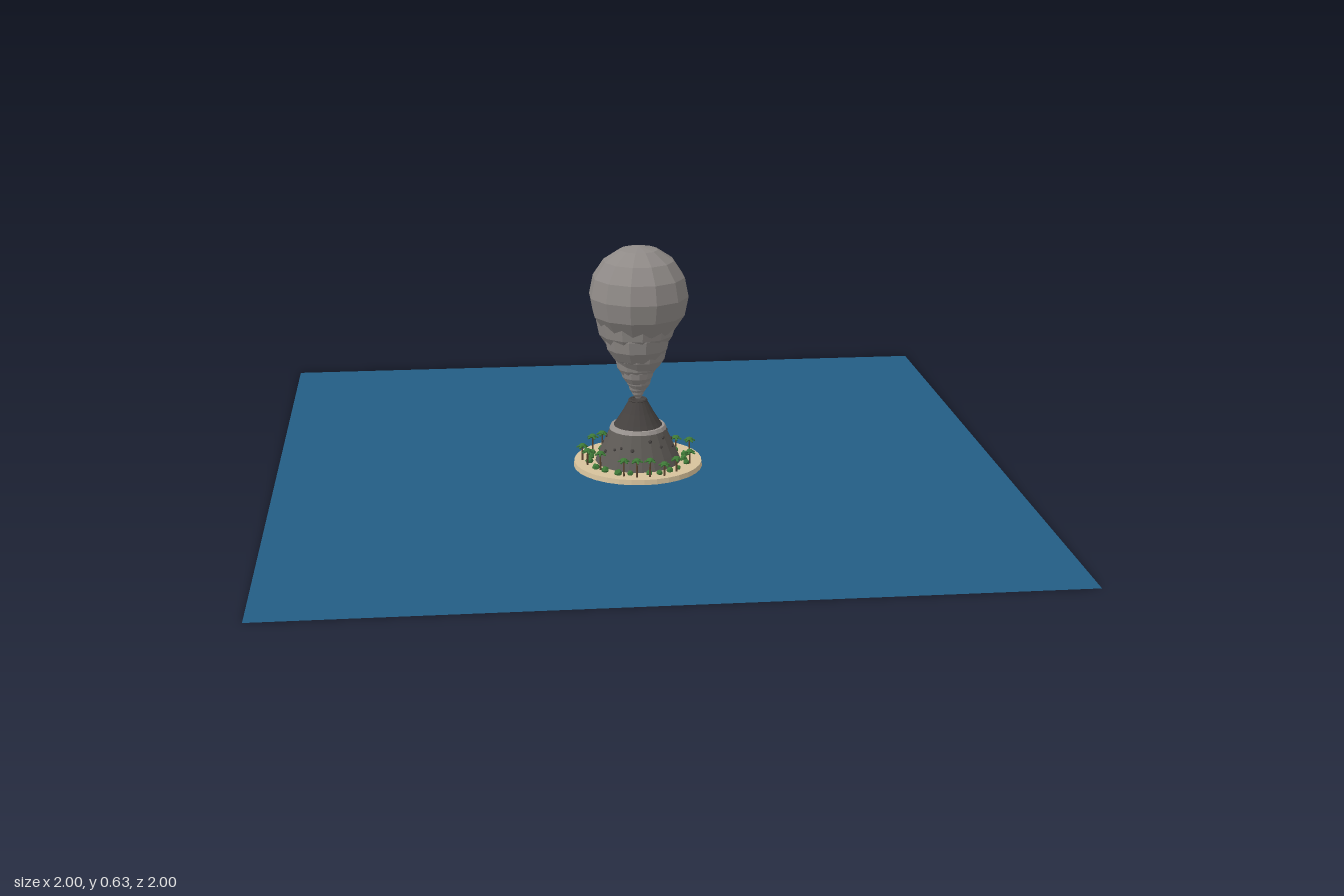
import * as THREE from 'three';

const mat = (color, extra = {}) =>
  new THREE.MeshStandardMaterial({ color, flatShading: true, ...extra });

const MATS = {
  sea: mat(0x235d84, { side: THREE.DoubleSide }),
  sand: mat(0xd6c29c),
  rock: mat(0x5e5a56),
  darkRock: mat(0x45413f),
  ash: mat(0x9a9490),
  smoke: mat(0x8f8a87),
  trunk: mat(0x5c4630),
  leaf: mat(0x3f7a38),
};

function add(parent, name, geometry, material, x = 0, y = 0, z = 0) {
  const mesh = new THREE.Mesh(geometry, material);
  mesh.name = name;
  mesh.position.set(x, y, z);
  parent.add(mesh);
  return mesh;
}

// Small repeatable variation between 0 and 1
const vary = (i) => Math.abs(Math.sin(i * 12.9898 + 1.3) * 437.585) % 1;

// Slim trunk under a flattened crown with a ring of drooping fronds
function makeTree(x, z, height, index) {
  const tree = new THREE.Group();
  tree.name = 'tree';
  tree.position.set(x, 0.012, z);
  tree.rotation.y = index * 1.7;
  add(tree, 'trunk', new THREE.CylinderGeometry(0.002, 0.003, height, 5), MATS.trunk, 0, height / 2, 0);
  const crown = add(tree, 'crown', new THREE.SphereGeometry(0.011, 7, 4), MATS.leaf, 0, height, 0);
  crown.scale.y = 0.55;
  for (let i = 0; i < 5; i++) {
    const a = (i / 5) * Math.PI * 2;
    const frond = add(tree, 'frond', new THREE.SphereGeometry(0.008, 5, 3), MATS.leaf,
      Math.cos(a) * 0.011, height - 0.003, Math.sin(a) * 0.011);
    frond.rotation.set(0, -a, -0.4, 'YXZ');
    frond.scale.set(1, 0.35, 0.5);
  }
  return tree;
}

export function createModel() {
  const model = new THREE.Group();
  model.name = 'volcanicIsland';

  // Sea and beach
  add(model, 'sea', new THREE.PlaneGeometry(2, 2).rotateX(-Math.PI / 2), MATS.sea);
  add(model, 'beach', new THREE.CylinderGeometry(0.178, 0.18, 0.014, 32), MATS.sand, 0, 0.007, 0);

  // Flared mountain in two tiers, with a pale ash ring between and a crater rim
  const lower = [[0.12, 0.012], [0.108, 0.04], [0.092, 0.075], [0.077, 0.108], [0, 0.108]];
  const upper = [[0.074, 0.108], [0.06, 0.128], [0.043, 0.155], [0.028, 0.182], [0.024, 0.19],
    [0.016, 0.188], [0, 0.178]];
  const lathe = (points) => new THREE.LatheGeometry(points.map((p) => new THREE.Vector2(...p)), 20);
  add(model, 'lowerSlope', lathe(lower), MATS.rock);
  add(model, 'upperSlope', lathe(upper), MATS.darkRock);
  add(model, 'ashRing', new THREE.CylinderGeometry(0.075, 0.08, 0.01, 20), MATS.ash, 0, 0.112, 0);
  add(model, 'craterRim', new THREE.TorusGeometry(0.023, 0.004, 5, 16).rotateX(Math.PI / 2),
    MATS.darkRock, 0, 0.188, 0);

  // Boulders on the lower slope
  for (let i = 0; i < 18; i++) {
    const a = i * 2.4;
    const y = 0.035 + vary(i) * 0.06;
    const r = 0.125 - y * 0.45;
    const boulder = add(model, 'boulder', new THREE.DodecahedronGeometry(0.004 + vary(i + 40) * 0.002),
      MATS.darkRock, Math.cos(a) * r, y, Math.sin(a) * r);
    boulder.rotation.set(i, i * 2, 0);
  }

  // Smoke column: puffs [height, radius] widening into one large cloud
  const smoke = new THREE.Group();
  smoke.name = 'smokeColumn';
  model.add(smoke);
  const puffs = [[0.2, 0.01], [0.212, 0.017], [0.228, 0.025], [0.249, 0.035], [0.274, 0.046],
    [0.303, 0.06], [0.337, 0.075], [0.376, 0.092], [0.422, 0.113]];
  puffs.forEach(([y, r], i) => {
    const drift = r * 0.06;
    const puff = add(smoke, 'smokePuff', new THREE.SphereGeometry(r, 12, 8), MATS.smoke,
      Math.cos(i * 2.1) * drift, y, Math.sin(i * 2.1) * drift);
    puff.rotation.y = i * 0.4;
  });
  add(smoke, 'smokeCloud', new THREE.SphereGeometry(0.138, 12, 8).rotateY(Math.PI / 12),
    MATS.smoke, 0.002, 0.488, 0);

  // Trees along the beach
  const spots = [[-0.12, -0.09], [-0.09, -0.125], [-0.05, -0.14], [-0.005, -0.155], [0.045, -0.14],
    [0.118, -0.093], [0.15, -0.04], [0.14, 0.05], [0.095, 0.115], [0.058, 0.147], [0.018, 0.153],
    [-0.018, 0.153], [-0.053, 0.14], [-0.112, 0.083], [-0.144, 0.035], [-0.155, -0.008]];
  spots.forEach(([x, z], i) => model.add(makeTree(x, z, 0.03 + vary(i) * 0.022, i)));

  // Low bushes at the foot of the mountain
  for (let i = 0; i < 22; i++) {
    const a = (i / 22) * Math.PI * 2 + vary(i) * 0.2;
    const r = 0.122 + vary(i + 9) * 0.02;
    const bush = add(model, 'bush', new THREE.IcosahedronGeometry(0.008 + vary(i + 3) * 0.004),
      MATS.leaf, Math.cos(a) * r, 0.018, Math.sin(a) * r);
    bush.rotation.y = i;
  }
  return model;
}
